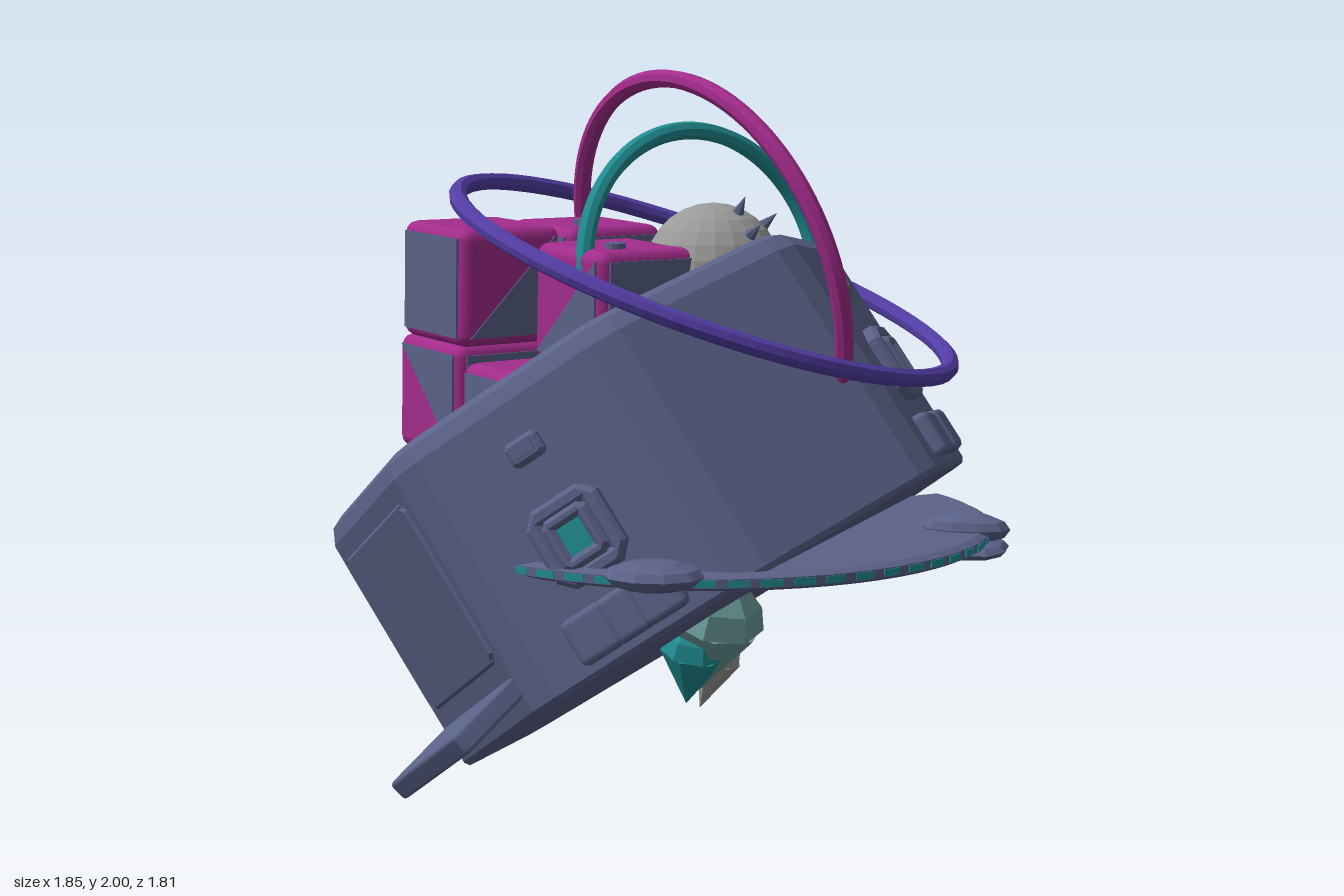
import * as THREE from 'three';
import { RoundedBoxGeometry } from 'three/addons/geometries/RoundedBoxGeometry.js';

const mat = (name, color) => {
  const m = new THREE.MeshStandardMaterial({ color });
  m.name = name;
  return m;
};

// Faceted normals without touching the material
const flat = (g) => {
  const f = g.index ? g.toNonIndexed() : g;
  f.computeVertexNormals();
  return f;
};

export function createModel() {
  const slate = mat('slate', 0x5b6288);
  const magenta = mat('magenta', 0xa32c8c);
  const teal = mat('teal', 0x208e92);
  const paleTeal = mat('paleTeal', 0x6a9c9a);
  const violet = mat('violet', 0x543ea6);
  const grey = mat('grey', 0x9a9a98);

  const model = new THREE.Group();
  const add = (parent, name, geo, material, pos = [0, 0, 0], rot = [0, 0, 0]) => {
    const m = new THREE.Mesh(geo, material);
    m.name = name;
    m.position.set(...pos);
    m.rotation.set(...rot);
    parent.add(m);
    return m;
  };
  const group = (parent, name) => {
    const g = new THREE.Group();
    g.name = name;
    parent.add(g);
    return g;
  };
  const box = (w, h, d) => new THREE.BoxGeometry(w, h, d);
  const soft = (w, h, d, r = 0.02) => new RoundedBoxGeometry(w, h, d, 1, r);

  // Rectangle with cut corners, bevelled towards +z; optional rectangular hole
  const plate = (w, h, d, cut, hole) => {
    const a = w / 2, b = h / 2;
    const s = new THREE.Shape([[a - cut, -b], [a, -b + cut], [a, b - cut], [a - cut, b],
      [-a + cut, b], [-a, b - cut], [-a, -b + cut], [-a + cut, -b]].map((p) => new THREE.Vector2(...p)));
    if (hole) {
      const [x, y] = [hole[0] / 2, hole[1] / 2];
      s.holes.push(new THREE.Path([[-x, -y], [-x, y], [x, y], [x, -y]].map((p) => new THREE.Vector2(...p))));
    }
    return flat(new THREE.ExtrudeGeometry(s, {
      depth: d, bevelEnabled: true, bevelSegments: 1, bevelSize: 0.012, bevelThickness: 0.012, bevelOffset: -0.012,
    }));
  };

  // Tilted eight-sided hull
  const hull = group(model, 'hull');
  const up = new THREE.Vector3(-0.5, 0.82, 0.28).normalize();
  const front = new THREE.Vector3().crossVectors(new THREE.Vector3(0.866, 0.475, 0.155), up).normalize();
  const side = new THREE.Vector3().crossVectors(up, front);
  hull.quaternion.setFromRotationMatrix(new THREE.Matrix4().makeBasis(side, up, front));
  hull.position.set(0.122, 0.473, -0.098);
  const A = 0.79; // distance from axis to each side
  const profile = [[0, 0], [0.78, 0], [A, 0.015], [A, 0.72], [0.77, 0.765], [0.735, 0.785], [0.69, 0.785], [0.6, 0.7], [0.48, 0.65], [0, 0.64]]
    .map((p) => new THREE.Vector2(...p));
  const shell = new THREE.LatheGeometry(profile, 16, Math.PI / 16);
  // Pull pairs of columns together so that each of the eight corners is narrowly bevelled
  const pos = shell.attributes.position, eighth = Math.PI / 4, cut = 0.055;
  for (let i = 0; i < pos.count; i++) {
    const x = pos.getX(i), z = pos.getZ(i), t = Math.atan2(x, z);
    const corner = Math.floor(t / eighth) * eighth + eighth / 2;
    const a = corner + Math.sign(t - corner) * cut;
    const r = Math.hypot(x, z) / Math.cos(eighth / 2 - cut);
    pos.setX(i, Math.sin(a) * r);
    pos.setZ(i, Math.cos(a) * r);
  }
  add(hull, 'hullShell', flat(shell), slate);

  const hullSide = (name, angle) => {
    const g = group(hull, name);
    g.rotation.y = angle;
    return g;
  };

  // Ports, small plates and lower blocks on the four diagonal sides
  for (const k of [-3, -1, 1, 3]) {
    const s = hullSide('portSide', k * Math.PI / 4);
    add(s, 'portFrame', plate(0.22, 0.23, 0.025, 0.04, [0.13, 0.14]), slate, [0, 0.33, A]);
    add(s, 'portInner', plate(0.14, 0.15, 0.035, 0.02, [0.07, 0.08]), slate, [0, 0.33, A]);
    add(s, 'portGlass', box(0.09, 0.1, 0.008), teal, [0, 0.33, A + 0.03]);
    add(s, 'smallPlate', plate(0.1, 0.07, 0.015, 0.012), slate, [0, 0.59, A]);
    add(s, 'smallPlateSlot', box(0.06, 0.03, 0.008), slate, [0, 0.59, A + 0.029]);
    for (const x of [-0.1, 0.1]) add(s, 'lowerBlock', soft(0.13, 0.13, 0.08), slate, [x, 0.1, A]);
    add(s, 'lowerBlockCentre', soft(0.12, 0.13, 0.06), slate, [0, 0.1, A]);
  }

  // Front hatch with an open flap
  const hatch = hullSide('hatch', 0);
  add(hatch, 'hatchFrame', plate(0.53, 0.5, 0.002, 0.03, [0.48, 0.45]), slate, [-0.01, 0.42, A - 0.006]);
  add(hatch, 'hatchFlap', soft(0.54, 0.06, 0.25, 0.012), slate, [0, 0.065, A + 0.1], [0.25, 0, 0]);

  // Layered back panel
  const back = hullSide('backPanel', Math.PI);
  add(back, 'backFrame', plate(0.54, 0.46, 0.03, 0.07), slate, [0, 0.33, A]);
  add(back, 'backInner', plate(0.36, 0.32, 0.06, 0.03), slate, [0, 0.33, A]);
  for (const y of [0.23, 0.32]) add(back, 'backSlat', box(0.26, 0.03, 0.02), slate, [0, y, A + 0.08]);
  add(back, 'backLight', box(0.16, 0.05, 0.008), teal, [-0.06, 0.4, A + 0.074]);
  add(back, 'backTopBlock', soft(0.26, 0.07, 0.06), slate, [0, 0.63, A]);

  // Console at the back of the bay
  const consoleGroup = group(hull, 'console');
  add(consoleGroup, 'consoleSeat', plate(0.36, 0.24, 0.14, 0.07), slate, [0, 0.68, -0.44], [-Math.PI / 2, 0, 0.2]);
  for (const x of [-0.2, 0.2]) add(consoleGroup, 'consoleArm', soft(0.07, 0.24, 0.28), slate, [x, 0.72, -0.42], [0, x, 0]);

  // Upright terminal beside the cargo
  const terminal = group(model, 'terminal');
  terminal.position.set(-0.46, 1.1, -0.19);
  terminal.rotation.y = -0.75 * Math.PI;
  add(terminal, 'terminalBody', soft(0.14, 0.2, 0.09), slate);
  add(terminal, 'terminalFrame', plate(0.12, 0.13, 0.012, 0.02, [0.07, 0.07]), slate, [0, 0, 0.045]);
  add(terminal, 'terminalLight', box(0.075, 0.075, 0.008), teal, [0, 0, 0.049]);

  // Flame-like crystals under the hull
  const spike = (name, from, to, r, material) => {
    const a = new THREE.Vector3(...from), d = new THREE.Vector3(...to).sub(a);
    const g = group(model, name);
    g.position.copy(a);
    g.quaternion.setFromUnitVectors(new THREE.Vector3(0, 1, 0), d.clone().normalize());
    add(g, name + 'Tip', flat(new THREE.ConeGeometry(r, d.length(), 7, 1)), material, [0, d.length() / 2, 0]);
    add(g, name + 'Cap', flat(new THREE.SphereGeometry(r, 7, 3, 0, Math.PI * 2, Math.PI / 2, Math.PI / 2)), material);
  };
  spike('paleCrystal', [0.14, 0.455, -0.07], [0.07, 0.24, -0.07], 0.14, paleTeal);
  spike('tealCrystal', [0.1, 0.37, -0.025], [0.05, 0.2, -0.035], 0.1, teal);
  spike('greyCrystal', [0.08, 0.33, -0.13], [0.01, 0.165, -0.115], 0.068, grey);
  const lip = add(model, 'crystalLip', flat(new THREE.SphereGeometry(1, 10, 6)), slate, [0.19, 0.565, -0.14]);
  lip.scale.set(0.03, 0.02, 0.08);

  // Level crescent wing with a dashed light strip
  const wing = group(model, 'wing');
  wing.position.set(0.12, 0.735, -0.055);
  const ring = [[0.4, -0.022], [0.78, -0.022], [0.8, -0.012], [0.8, 0.012], [0.78, 0.022], [0.4, 0.022]].map((p) => new THREE.Vector2(...p));
  const arc0 = 0.21, arc = Math.PI - 0.37;
  add(wing, 'wingPlate', flat(new THREE.LatheGeometry(ring, 30, arc0, arc)), slate);
  for (let i = 0; i < 26; i++) {
    const t = arc0 + arc * (i + 0.5) / 26;
    add(wing, 'wingLight', box(0.055, 0.018, 0.009), teal, [Math.sin(t) * 0.798, 0, Math.cos(t) * 0.798], [0, t, 0]);
  }
  // Flattened pods on the front and back of the wing
  const lump = flat(new THREE.SphereGeometry(1, 10, 6));
  add(wing, 'wingFrontLump', lump, slate, [0.53, 0.015, 0.58], [0, 0.8, 0]).scale.set(0.13, 0.04, 0.1);
  add(wing, 'wingTopLump', lump, slate, [0.58, 0.025, -0.45], [0, 0.7, 0]).scale.set(0.12, 0.045, 0.06);
  add(wing, 'wingLowLump', lump, slate, [0.58, -0.025, -0.46], [0, 0.9, 0]).scale.set(0.11, 0.03, 0.16);

  // Rounded cargo blocks; face codes: 0 full plate, 1 lower-right half, 2 upper-right half
  const S = 0.325, h = 0.136;
  const tri = (pts) => new THREE.ExtrudeGeometry(
    new THREE.Shape(pts.map(([x, y]) => new THREE.Vector2(x * h, y * h))), { depth: 0.006, bevelEnabled: false });
  const faces = [
    tri([[-1, -1], [1, -1], [1, 1], [-1, 1]]),
    tri([[-1, -1], [1, -1], [1, 1]]),
    tri([[-1, 1], [1, -1], [1, 1]]),
  ];
  const cargo = group(model, 'cargo');
  for (const [x, y, z, frontFace, sideFace, tag] of [
    [-0.29, 1.42, 0.43, 0, 1, 'side'], [-0.29, 1.41, 0.08, 0, 0], [0.06, 1.37, 0.22, 1, 0],
    [-0.32, 1.1, 0.43, 2, 0], [-0.32, 1.1, 0.08, 0, 0, 'side'], [0.03, 1.05, 0.44, 0, 0, 'front']]) {
    const b = group(cargo, 'cargoBlock');
    b.position.set(x, y, z);
    b.rotation.z = -0.04;
    add(b, 'blockBody', new RoundedBoxGeometry(S, S, S, 2, 0.035), magenta);
    add(b, 'blockFrontPlate', faces[frontFace], slate, [0, 0, S / 2 - 0.002]);
    add(b, 'blockSidePlate', faces[sideFace], slate, [S / 2 - 0.002, 0, 0], [0, Math.PI / 2, 0]);
    add(b, 'blockBolt', flat(new THREE.CylinderGeometry(0.028, 0.028, 0.03, 10)), slate, [0.08, S / 2, 0.06]);
    if (tag === 'side') add(b, 'blockTag', box(0.008, 0.06, 0.06), teal, [-S / 2, -0.09, -0.07]);
    if (tag === 'front') add(b, 'blockTag', box(0.06, 0.06, 0.008), teal, [-0.11, -0.06, S / 2 + 0.003]);
  }
  add(cargo, 'cargoBase', soft(0.36, 0.06, 0.5), slate, [-0.3, 0.91, 0.28], [0.1, 0, 0.1]);
  add(cargo, 'cargoPipe', flat(new THREE.CylinderGeometry(0.06, 0.06, 0.2, 10)), magenta, [-0.05, 1.38, -0.11], [Math.PI / 2, 0, 0]);

  // Grey ball with small horns
  const ball = group(model, 'ball');
  ball.position.set(0.13, 1.45, -0.065);
  add(ball, 'ballBody', flat(new THREE.SphereGeometry(0.19, 20, 14)), grey);
  const horn = flat(new THREE.ConeGeometry(0.02, 0.06, 6));
  for (const [x, y, z] of [[0.45, 0.85, -0.1], [0.85, 0.6, -0.05], [0.4, 0.65, -0.6]]) {
    const d = new THREE.Vector3(x, y, z).normalize();
    const m = add(ball, 'ballHorn', horn, slate, d.clone().multiplyScalar(0.21).toArray());
    m.quaternion.setFromUnitVectors(new THREE.Vector3(0, 1, 0), d);
  }

  // Hoops sharing one centre: x is the hoop's width axis, y its top
  const hoop = (name, R, sweep, xAxis, yAxis, material) => {
    const x = new THREE.Vector3(...xAxis).normalize(), y = new THREE.Vector3(...yAxis);
    y.addScaledVector(x, -x.dot(y)).normalize();
    const z = new THREE.Vector3().crossVectors(x, y);
    const geo = flat(new THREE.TorusGeometry(R, 0.025, 8, 64, sweep).rotateZ(Math.PI / 2 - sweep / 2));
    const m = add(model, name, geo, material, [0.13, 1.44, -0.04]);
    m.quaternion.setFromRotationMatrix(new THREE.Matrix4().makeBasis(x, y, z));
    if (sweep < 6) {
      for (const s of [-1, 1]) { // rounded ends
        const t = Math.PI / 2 + s * sweep / 2;
        add(m, name + 'End', new THREE.SphereGeometry(0.024, 8, 6), material, [Math.cos(t) * R, Math.sin(t) * R, 0]);
      }
    }
  };
  hoop('largeHoop', 0.72, Math.PI * 2, [1, -0.3, 0], [0, 0.21, 1], violet);
  hoop('tallArch', 0.56, 4.03, [1, 0, 0], [0, 0.964, 0.265], magenta);
  hoop('smallArch', 0.405, Math.PI, [0, 0, -1], [-0.2, 0.98, 0], teal);

  return model;
}
